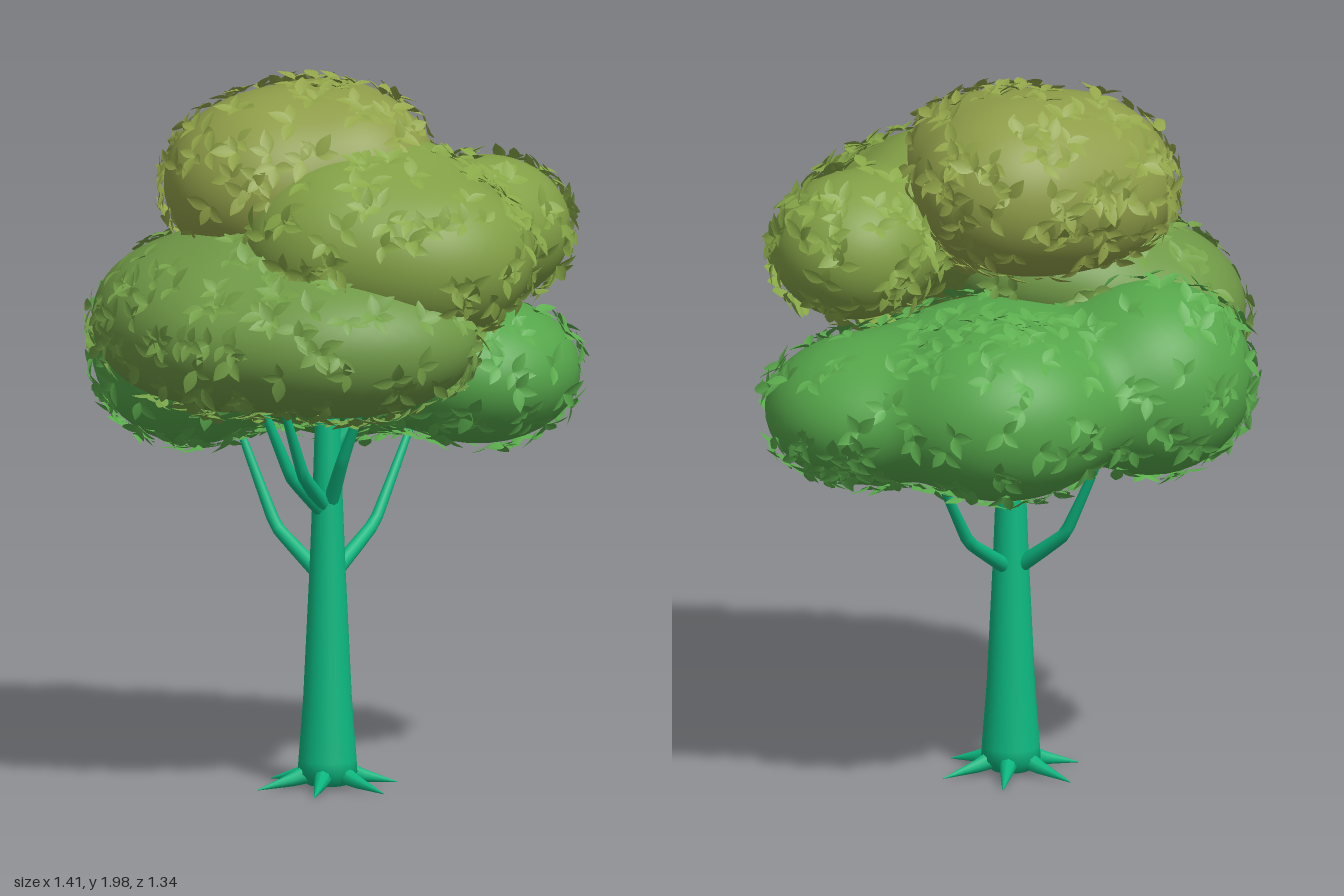
import * as THREE from 'three';
import { mergeGeometries } from 'three/addons/utils/BufferGeometryUtils.js';

const V = (x, y, z) => new THREE.Vector3(x, y, z);

// Seeded random numbers
let seed = 7;
const rand = () => {
  seed = (seed * 16807) % 2147483647;
  return seed / 2147483647;
};

// Each clump blends a few ellipsoids: [centre, radii]
const CLUMPS = [
  {
    name: 'topFoliage', color: 0x8f9d49, leaf: 0x93a64a, core: V(-0.11, 1.69, -0.03),
    lobes: [[V(-0.18, 1.68, 0.02), V(0.3, 0.25, 0.29)], [V(-0.02, 1.71, -0.09), V(0.27, 0.23, 0.25)],
      [V(0.03, 1.71, 0.08), V(0.23, 0.21, 0.21)]],
  },
  {
    name: 'upperFrontFoliage', color: 0x829f46, leaf: 0x88a848, core: V(0.2, 1.53, 0.16),
    lobes: [[V(0.2, 1.51, 0.29), V(0.31, 0.23, 0.26)], [V(0.41, 1.54, -0.02), V(0.23, 0.2, 0.23)],
      [V(0, 1.54, 0.22), V(0.28, 0.24, 0.26)], [V(0.13, 1.62, 0.12), V(0.25, 0.2, 0.22)]],
  },
  {
    name: 'middleFoliage', color: 0x6f9846, leaf: 0x75a148, core: V(-0.22, 1.33, 0.2),
    lobes: [[V(-0.41, 1.31, 0.05), V(0.27, 0.22, 0.33)], [V(-0.03, 1.29, 0.39), V(0.38, 0.2, 0.25)],
      [V(-0.18, 1.43, 0.1), V(0.31, 0.18, 0.28)], [V(-0.32, 1.29, 0.28), V(0.24, 0.19, 0.23)]],
  },
  {
    name: 'lowerBackFoliage', color: 0x55a54a, leaf: 0x5cad4e, core: V(0, 1.17, -0.2),
    lobes: [[V(-0.38, 1.19, -0.22), V(0.28, 0.27, 0.28)], [V(0.05, 1.15, -0.38), V(0.32, 0.24, 0.27)],
      [V(0.4, 1.12, -0.18), V(0.28, 0.2, 0.29)], [V(0.02, 1.2, -0.12), V(0.36, 0.2, 0.26)]],
  },
];

// Blended field: above 1 inside the clump, below 1 outside
function field(clump, p) {
  let sum = 0;
  for (const [c, r] of clump.lobes) {
    sum += Math.exp(-7 * (p.clone().sub(c).divide(r).length() - 1));
  }
  return sum;
}

function fieldNormal(clump, p) {
  const e = 0.002;
  const slope = (d) => field(clump, p.clone().sub(d)) - field(clump, p.clone().add(d));
  return V(slope(V(e, 0, 0)), slope(V(0, e, 0)), slope(V(0, 0, e))).normalize();
}

// Surface point of a clump in a direction from its core
function surfacePoint(clump, dir) {
  let near = 0, far = 1.2;
  for (let i = 0; i < 18; i++) {
    const mid = (near + far) / 2;
    if (field(clump, clump.core.clone().addScaledVector(dir, mid)) > 1) near = mid;
    else far = mid;
  }
  return clump.core.clone().addScaledVector(dir, near);
}

function clumpGeometry(clump) {
  const geo = new THREE.IcosahedronGeometry(1, 18);
  const pos = geo.attributes.position, nor = geo.attributes.normal;
  for (let i = 0; i < pos.count; i++) {
    const p = surfacePoint(clump, new THREE.Vector3().fromBufferAttribute(pos, i).normalize());
    const n = fieldNormal(clump, p);
    pos.setXYZ(i, p.x, p.y, p.z);
    nor.setXYZ(i, n.x, n.y, n.z);
  }
  return geo;
}

// Pointed oval leaf along +x, folded at the midrib
function leafGeometry() {
  const geo = new THREE.PlaneGeometry(1, 1, 5, 2);
  const pos = geo.attributes.position;
  for (let i = 0; i < pos.count; i++) {
    const t = pos.getX(i) + 0.5;
    const y = pos.getY(i) * 0.52 * Math.sin(Math.PI * Math.pow(t, 0.85));
    pos.setXYZ(i, t, y, Math.abs(y) * 0.25 - 0.12 * t * t);
  }
  geo.computeVertexNormals();
  return geo;
}

// Sprigs of three leaves scattered evenly over the exposed surface of a clump
function leavesGeometry(clump, surface, leaf) {
  const parts = [];
  const pos = surface.attributes.position;
  const tri = new THREE.Triangle();
  for (let i = 0; i < pos.count; i += 3) {
    tri.setFromAttributeAndIndices(pos, i, i + 1, i + 2);
    if (rand() > tri.getArea() * 140) continue;
    const p = tri.getMidpoint(V(0, 0, 0));
    if (CLUMPS.some((other) => other !== clump && field(other, p) > 1.1)) continue;
    const n = fieldNormal(clump, p);
    const u = V(0.3, 0.2, 1).cross(n).normalize();
    const v = n.clone().cross(u);
    const turn = rand() * Math.PI * 2;
    for (let k = 0; k < 3; k++) {
      const b = turn + (k - 1) * 1.4 + rand() * 0.5;
      const along = u.clone().multiplyScalar(Math.cos(b)).addScaledVector(v, Math.sin(b))
        .addScaledVector(n, 0.15 + rand() * 0.45).normalize();
      const side = n.clone().cross(along).normalize();
      const up = along.clone().cross(side);
      const size = 0.05 + rand() * 0.025;
      const m = new THREE.Matrix4().makeBasis(along, side, up)
        .scale(V(size, size, size)).setPosition(p.clone().addScaledVector(n, 0.003));
      parts.push(leaf.clone().applyMatrix4(m));
    }
  }
  return mergeGeometries(parts);
}

// Tube along a path whose radius runs from r0 to r1
function taperedTube(points, r0, r1, sides = 10, steps = 14) {
  const curve = new THREE.CatmullRomCurve3(points, false, 'catmullrom', 0.08);
  const geo = new THREE.TubeGeometry(curve, steps, 1, sides);
  const pos = geo.attributes.position;
  for (let i = 0; i < pos.count; i++) {
    const t = Math.floor(i / (sides + 1)) / steps;
    const c = curve.getPointAt(t);
    const p = new THREE.Vector3().fromBufferAttribute(pos, i).sub(c)
      .multiplyScalar(r0 + (r1 - r0) * t).add(c);
    pos.setXYZ(i, p.x, p.y, p.z);
  }
  return geo;
}

export function createModel() {
  const tree = new THREE.Group();
  tree.name = 'tree';
  const bark = new THREE.MeshStandardMaterial({ color: 0x0cb880 });
  const add = (name, geo, mat, parent = tree) => {
    const mesh = new THREE.Mesh(geo, mat);
    mesh.name = name;
    parent.add(mesh);
    return mesh;
  };

  // Trunk, rounded under at the foot and narrowing upwards
  const profile = [[0, 0.01], [0.055, 0.012], [0.082, 0.045], [0.08, 0.08], [0.067, 0.25],
    [0.05, 0.6], [0.04, 0.85], [0.032, 1.1], [0.022, 1.2], [0, 1.21]];
  const trunk = add('trunk',
    new THREE.LatheGeometry(profile.map(([r, y]) => new THREE.Vector2(r, y)), 24), bark);
  trunk.position.set(-0.033, 0, 0.042);

  // Six pointed roots around the foot
  const roots = new THREE.Group();
  roots.name = 'roots';
  roots.position.copy(trunk.position);
  tree.add(roots);
  for (let i = 0; i < 6; i++) {
    const a = Math.PI / 4 + i * Math.PI / 3;
    const at = (r, y) => V(Math.cos(a) * r, y, Math.sin(a) * r);
    add('root', taperedTube([at(0.04, 0.05), at(0.1, 0.03), at(0.203, 0.006)], 0.03, 0.001, 8, 8), bark, roots);
  }

  // Bent branches reaching into the foliage
  const branches = new THREE.Group();
  branches.name = 'branches';
  tree.add(branches);
  const paths = [
    [V(-0.02, 0.59, 0.03), V(0.11, 0.71, -0.12), V(0.24, 1, -0.27)],
    [V(-0.05, 0.59, 0.03), V(-0.165, 0.71, -0.08), V(-0.27, 1, -0.17)],
    [V(-0.045, 0.77, 0.05), V(-0.14, 0.88, 0.14), V(-0.25, 1.15, 0.2)],
    [V(-0.04, 0.78, 0.05), V(-0.11, 0.89, 0.17), V(-0.19, 1.16, 0.28)],
    [V(-0.03, 0.78, 0.05), V(0, 0.92, 0.13), V(0.07, 1.16, 0.22)],
    [V(-0.035, 0.92, 0.04), V(0.03, 1.01, 0.02), V(0.1, 1.12, -0.02)],
  ];
  for (const path of paths) add('branch', taperedTube(path, 0.023, 0.009), bark, branches);

  // Foliage clumps with their leaves
  const leaf = leafGeometry();
  for (const clump of CLUMPS) {
    const surface = clumpGeometry(clump);
    add(clump.name, surface, new THREE.MeshStandardMaterial({ color: clump.color }));
    add(clump.name + 'Leaves', leavesGeometry(clump, surface, leaf),
      new THREE.MeshStandardMaterial({ color: clump.leaf, side: THREE.DoubleSide }));
  }
  return tree;
}
